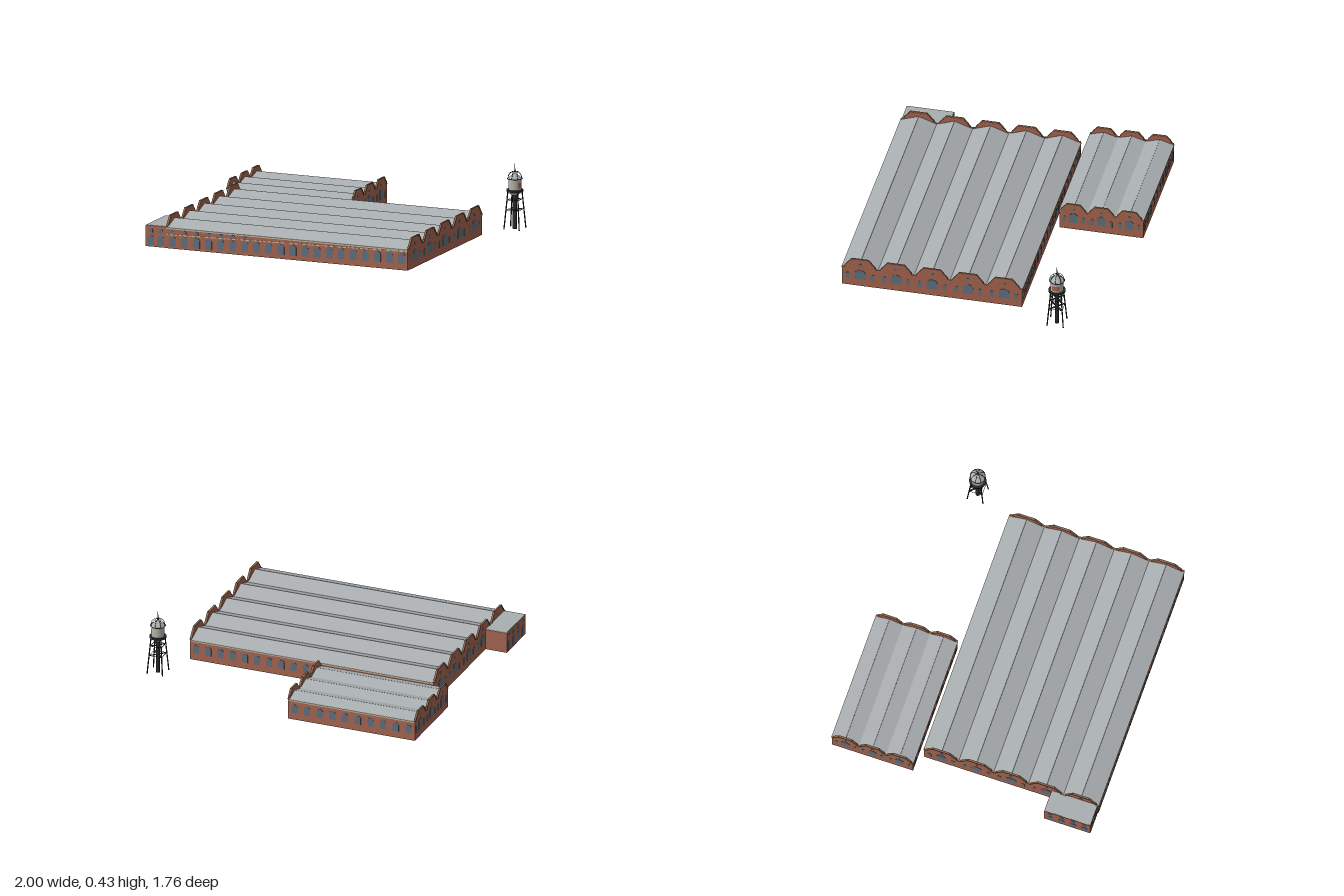
import * as THREE from 'three';

const mat = (name, color) => new THREE.MeshStandardMaterial({ name, color });

export function createModel() {
  const brick = mat('brick', 0xa5644f), roof = mat('roof metal', 0xa9aeb1), glass = mat('window glass', 0x5f7080);
  const stone = mat('stone trim', 0xc9bda4), iron = mat('dark iron', 0x2a2c2f), tankPaint = mat('tank paint', 0xb9b3a6);
  const coping = mat('coping', 0x8a6a4c);
  const root = new THREE.Group();
  root.name = 'factory';

  const add = (parent, name, geo, m, x = 0, y = 0, z = 0) => {
    const mesh = new THREE.Mesh(geo, m);
    mesh.name = name;
    mesh.position.set(x, y, z);
    parent.add(mesh);
    return mesh;
  };
  const box = (p, name, m, x0, x1, y0, y1, z0, z1) =>
    add(p, name, new THREE.BoxGeometry(x1 - x0, y1 - y0, z1 - z0), m, (x0 + x1) / 2, (y0 + y1) / 2, (z0 + z1) / 2);

  // Slab running along x whose cross-section joins two [z, y] points
  const slab = (p, name, m, a, b, x0, x1, t) => {
    const dz = b[0] - a[0], dy = b[1] - a[1];
    const s = add(p, name, new THREE.BoxGeometry(x1 - x0, t, Math.hypot(dz, dy)), m,
      (x0 + x1) / 2, (a[1] + b[1]) / 2, (a[0] + b[0]) / 2);
    s.rotation.x = -Math.atan2(dy, dz);
  };
  // Round bar between two points
  const bar = (p, name, m, a, b, r) => {
    const A = new THREE.Vector3(...a), B = new THREE.Vector3(...b), d = B.clone().sub(A);
    const s = add(p, name, new THREE.CylinderGeometry(r, r, d.length(), 6), m);
    s.position.copy(A).add(B).multiplyScalar(0.5);
    s.quaternion.setFromUnitVectors(new THREE.Vector3(0, 1, 0), d.normalize());
  };

  // Thin window plate with a segmental head; turn faces it outward
  const windowPane = (p, w, h, x, y, z, turn) => {
    const s = new THREE.Shape(), r = w / 2, spring = h - r * 0.8;
    s.moveTo(-r, 0).lineTo(r, 0).lineTo(r, spring);
    s.absellipse(0, spring, r, r * 0.8, 0, Math.PI, false);
    s.closePath();
    const geo = new THREE.ExtrudeGeometry(s, { depth: 0.002, bevelEnabled: false, curveSegments: 8 });
    add(p, 'window', geo, glass, x, y, z).rotation.y = turn;
  };
  const oculus = (p, r, x, y, z, turn) =>
    add(p, 'roundWindow', new THREE.CylinderGeometry(r, r, 0.004, 12).rotateX(Math.PI / 2), glass, x, y, z).rotation.y = turn;

  // Hall made of parallel gabled bays
  function hall(name, x0, x1, zBack, zFront, bays, peak, ridge) {
    const g = new THREE.Group();
    g.name = name;
    root.add(g);
    const bw = (zFront - zBack) / bays, hw = bw / 2, eave = 0.137, T = 0.008;
    const half = [[-hw, eave], [-hw * 0.87, eave + 0.003], [-hw * 0.82, eave + 0.016], [-hw * 0.47, peak]];
    const bayLine = [...half, ...half.map(([z, y]) => [-z, y]).reverse()];
    const centres = Array.from({ length: bays }, (_, i) => zBack + bw * (i + 0.5));
    const line = centres.flatMap(c => bayLine.map(([z, y]) => [z + c, y]));

    // Gable end walls
    const s = new THREE.Shape();
    s.moveTo(-zBack, 0);
    line.forEach(([z, y]) => s.lineTo(-z, y));
    s.lineTo(-zFront, 0);
    s.closePath();
    const gable = new THREE.ExtrudeGeometry(s, { depth: T, bevelEnabled: false }).rotateY(Math.PI / 2);
    for (const side of [-1, 1]) {
      const xo = side > 0 ? x1 : x0, turn = side * Math.PI / 2;
      add(g, 'gableWall', gable, brick, side > 0 ? x1 - T : x0);
      for (let i = 0; i + 1 < line.length; i++) {
        if (Math.hypot(line[i + 1][0] - line[i][0], line[i + 1][1] - line[i][1]) < 1e-4) continue;
        slab(g, 'gableCoping', coping, line[i], line[i + 1], xo - 0.006, xo + 0.006, 0.004);
      }
      for (const c of centres) {
        windowPane(g, bw * 0.3, 0.07, xo, 0.05, c, turn);
        for (const d of [-1, 1]) windowPane(g, bw * 0.1, 0.046, xo, 0.05, c + d * bw * 0.34, turn);
        oculus(g, bw * 0.045, xo, peak - 0.045, c, turn);
      }
    }
    // Long side walls and their cornices
    box(g, 'frontWall', brick, x0 + T, x1 - T, 0, 0.13, zFront - T, zFront);
    box(g, 'backWall', brick, x0 + T, x1 - T, 0, 0.13, zBack, zBack + T);
    box(g, 'frontCornice', stone, x0, x1, 0.126, 0.134, zFront - T, zFront + 0.003);
    box(g, 'backCornice', stone, x0, x1, 0.126, 0.134, zBack - 0.003, zBack + T);
    // Pitched roofs
    for (const c of centres) {
      for (const d of [-1, 1]) slab(g, 'roofSlope', roof, [c + d * hw, 0.133], [c, ridge], x0 + T, x1 - T, 0.004);
    }
    return g;
  }

  const X0 = -0.853, X1 = 0.826, ZF = 0.875, ZB = -0.3;
  const main = hall('mainHall', X0, X1, ZB, ZF, 5, 0.203, 0.175);
  const rear = hall('rearHall', -0.965, -0.092, -0.882, -0.335, 3, 0.19, 0.16);

  // Front windows and string course climb gently to the right
  const N = 20, step = (X1 - X0) / N;
  for (let i = 0; i < N; i++) {
    const x = X0 + step * (i + 0.5), k = i / (N - 1), rise = 0.033 * k;
    windowPane(main, 0.046, 0.068, x, 0.012 + rise, ZF, 0);
    box(main, 'stringCourse', stone, x - step * 0.46, x + step * 0.46, 0.087 + rise, 0.092 + rise, ZF, ZF + 0.003);
    if (i < 7) windowPane(main, 0.026, 0.022, x, 0.099 + rise * 0.4, ZF, 0);
    windowPane(main, 0.04, 0.06, x, 0.045, ZB, Math.PI);
  }
  // Rear hall side windows
  for (let i = 0; i < 10; i++) {
    const x = -0.965 + 0.0873 * (i + 0.5);
    windowPane(rear, 0.042, 0.06, x, 0.045, -0.882, Math.PI);
    windowPane(rear, 0.042, 0.06, x, 0.045, -0.335, 0);
  }

  // Flat-roofed annex
  const annex = new THREE.Group();
  annex.name = 'annex';
  root.add(annex);
  box(annex, 'annexFrontWall', brick, -1, X0, 0, 0.137, 0.862, 0.87);
  box(annex, 'annexBackWall', brick, -1, X0, 0, 0.137, 0.56, 0.568);
  box(annex, 'annexSideWall', brick, -1, -0.992, 0, 0.137, 0.568, 0.862);
  box(annex, 'annexRoof', roof, -0.997, X0, 0.133, 0.1385, 0.563, 0.867);
  for (const x of [-0.963, -0.893]) {
    windowPane(annex, 0.046, 0.065, x, 0.01, 0.87, 0);
    windowPane(annex, 0.028, 0.027, x, 0.093, 0.87, 0);
  }
  for (let i = 0; i < 4; i++) {
    const z = 0.56 + 0.0775 * (i + 0.5);
    windowPane(annex, 0.04, 0.065, -1, 0.01, z, -Math.PI / 2);
    windowPane(annex, 0.028, 0.027, -1, 0.093, z, -Math.PI / 2);
  }

  // Water tower
  const tower = new THREE.Group();
  tower.name = 'waterTower';
  tower.position.set(0.942, 0, -0.555);
  root.add(tower);
  for (const sx of [-1, 1]) for (const sz of [-1, 1])
    bar(tower, 'towerLeg', iron, [sx * 0.053, 0, sz * 0.053], [sx * 0.034, 0.245, sz * 0.034], 0.004);
  add(tower, 'riserPipe', new THREE.CylinderGeometry(0.014, 0.014, 0.235, 12), iron, 0, 0.1175, 0);
  for (const [y, r] of [[0.125, 0.043], [0.19, 0.038]]) {
    for (const a of [1, -1])
      add(tower, 'crossBrace', new THREE.BoxGeometry(r * 2.8, 0.003, 0.012), iron, 0, y, 0).rotation.y = a * Math.PI / 4;
    for (const d of [-1, 1]) {
      bar(tower, 'tieRod', iron, [-r, y, d * r], [r, y, d * r], 0.0015);
      bar(tower, 'tieRod', iron, [d * r, y, -r], [d * r, y, r], 0.0015);
    }
  }
  const profile = pts => new THREE.LatheGeometry(pts.map(p => new THREE.Vector2(...p)), 20);
  add(tower, 'tankBowl', profile([[0, 0.215], [0.02, 0.219], [0.034, 0.23], [0.042, 0.25]]), tankPaint);
  add(tower, 'tank', new THREE.CylinderGeometry(0.042, 0.042, 0.078, 20), tankPaint, 0, 0.289, 0);
  add(tower, 'walkway', new THREE.CylinderGeometry(0.055, 0.055, 0.012, 20), iron, 0, 0.25, 0);
  add(tower, 'tankRoof', new THREE.ConeGeometry(0.05, 0.04, 20), roof, 0, 0.346, 0);
  add(tower, 'roofRim', new THREE.TorusGeometry(0.049, 0.002, 6, 24).rotateX(Math.PI / 2), iron, 0, 0.327, 0);
  add(tower, 'finial', new THREE.CylinderGeometry(0.0015, 0.003, 0.07, 6), iron, 0, 0.39, 0);
  // Domed cage of ribs above the roof
  for (let i = 0; i < 4; i++)
    add(tower, 'cageRib', new THREE.TorusGeometry(0.048, 0.0014, 5, 16, Math.PI), iron, 0, 0.327, 0).rotation.y = i * Math.PI / 4;
  // Painted panel wrapped on the tank side
  add(tower, 'tankPanel', new THREE.CylinderGeometry(0.0435, 0.0435, 0.036, 8, 1, true, Math.PI / 2 - 0.62, 1.24), brick, 0, 0.286, 0);

  return root;
}
